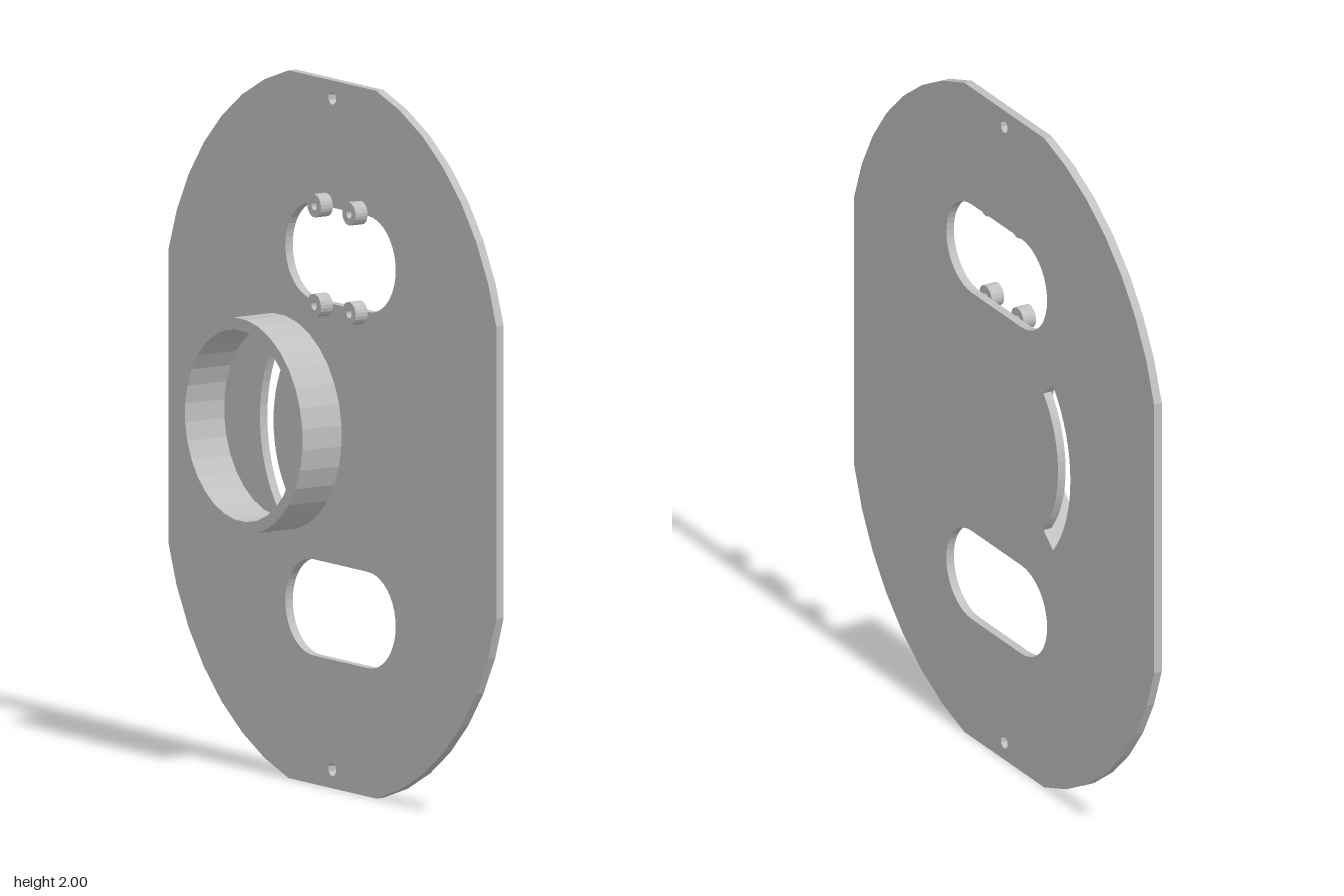
import * as THREE from 'three';

const TAU = Math.PI * 2;

// Points along a circular arc, ends included
function arc(cx, cy, r, from, to, steps) {
  return Array.from({ length: steps + 1 }, (_, i) => {
    const a = from + (to - from) * i / steps;
    return new THREE.Vector2(cx + r * Math.cos(a), cy + r * Math.sin(a));
  });
}

const circle = (cx, cy, r, sides) => arc(cx, cy, r, TAU / sides / 2, TAU * (1 + 0.5 / sides), sides).slice(0, -1);

// Horizontal slot with round ends
function pill(cx, cy, half, r) {
  return [
    ...arc(cx + half, cy, r, -Math.PI / 2, Math.PI / 2, 20),
    ...arc(cx - half, cy, r, Math.PI / 2, Math.PI * 1.5, 20),
  ];
}

export function createModel() {
  const grey = new THREE.MeshStandardMaterial({ color: 0xc0c0c0 });
  grey.name = 'grey';
  grey.flatShading = true;

  // Profiles are drawn facing +z, then the whole panel is turned to face +x
  const panel = new THREE.Group();
  panel.name = 'panel';
  panel.rotation.y = Math.PI / 2;

  function slab(name, outline, holes, back, front) {
    const shape = new THREE.Shape(outline);
    shape.holes = holes.map(h => new THREE.Path(h));
    const geometry = new THREE.ExtrudeGeometry(shape, { depth: front - back, bevelEnabled: false });
    geometry.translate(0, 0, back);
    const mesh = new THREE.Mesh(geometry, grey);
    mesh.name = name;
    panel.add(mesh);
  }

  // Plate outline: four large arcs trimmed by straight sides
  const R = 0.828, trim = Math.acos(0.8 / R);
  const outline = [];
  for (let q = 0; q < 4; q++) {
    const start = q * Math.PI / 2;
    outline.push(...arc(0, q < 2 ? 1.2 : 0.8, R, start + trim, start + Math.PI / 2 - trim, 7));
  }

  // Curved slot
  const sweep = 0.7;
  const curvedSlot = [
    ...arc(-0.04, 1.002, 0.393, -sweep, sweep, 16),
    ...arc(-0.04, 1.002, 0.327, sweep, -sweep, 16),
  ];

  slab('plate', outline, [
    pill(-0.04, 1.505, 0.133, 0.136),
    pill(-0.04, 0.499, 0.133, 0.136),
    curvedSlot,
    circle(0, 1.95, 0.019, 8),
    circle(0, 0.053, 0.019, 8),
  ], 0.053, 0.078);

  // Open ring on the rear face
  slab('ring', circle(0.258, 1.002, 0.304, 32), [circle(0.258, 1.002, 0.27, 32)], -0.08, 0.053);

  // Four hollow mounting posts around the upper slot
  for (const u of [-0.14, 0.03]) {
    for (const y of [1.364, 1.646]) {
      slab('mountingPost', circle(u, y, 0.033, 20), [circle(u, y, 0.013, 12)], 0.012, 0.053);
    }
  }

  const model = new THREE.Group();
  model.name = 'mountingPlate';
  model.add(panel);
  return model;
}
